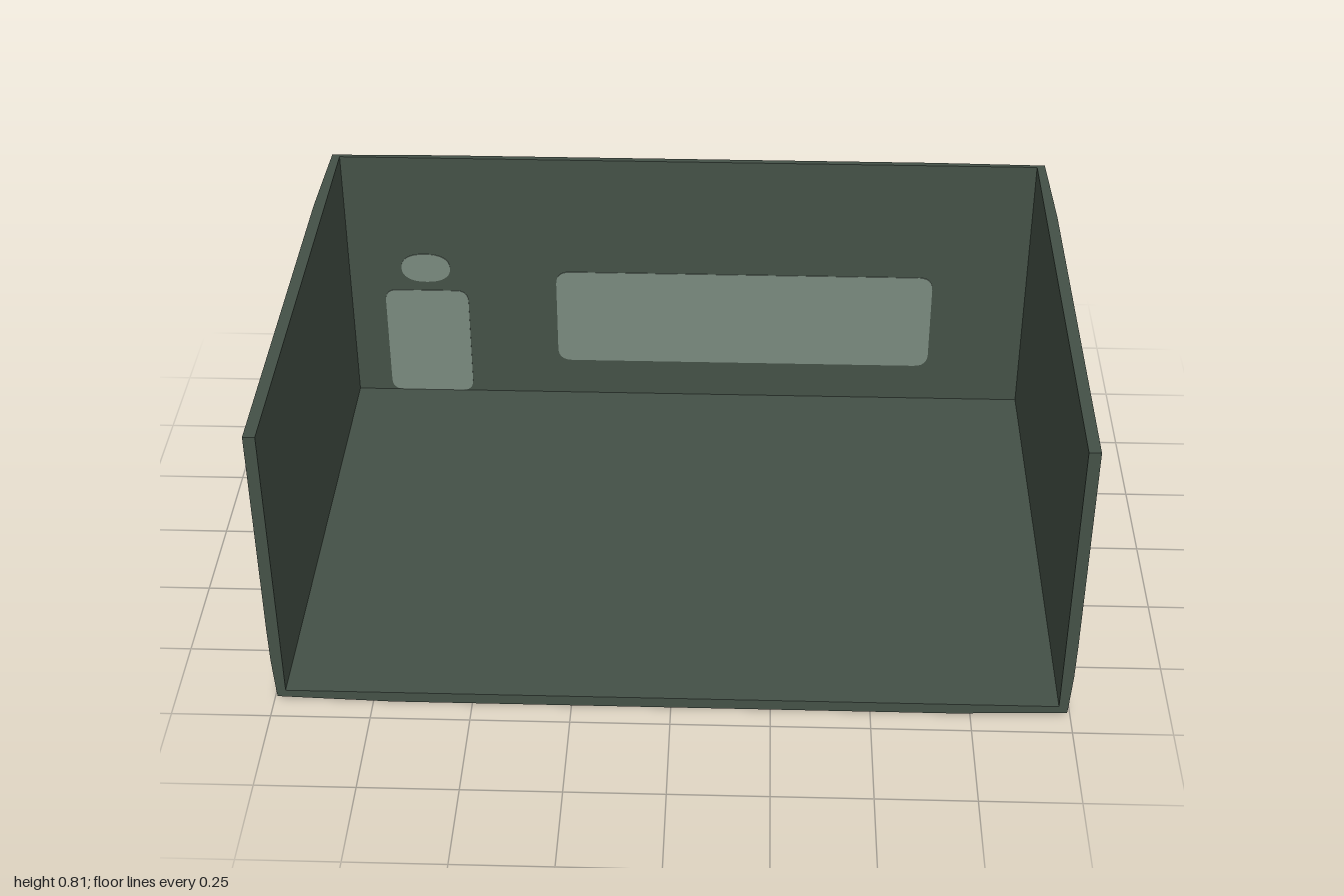
import * as THREE from 'three';

const W = 1, H = 0.81, D = 0.687, BACK = 0.685, T = 0.03, BACK_IN = -0.668;

// 0 before a, rising evenly to 1 at b
const ramp = (v, a, b) => THREE.MathUtils.clamp((v - a) / (b - a), 0, 1);

// Eases the outer skin inwards near the lower and rear edges
function easeOuterSkin(geometry) {
  const p = geometry.attributes.position;
  for (let i = 0; i < p.count; i++) {
    const x = p.getX(i), y = p.getY(i), z = p.getZ(i);
    const side = ramp(Math.abs(x), 0.7, W);
    const low = 1 - ramp(y, 0, 0.15);
    const rear = ramp(-z, 0.4, BACK);
    if (Math.abs(x) > W - 0.001) p.setX(i, x - Math.sign(x) * 0.008 * Math.max(low, rear));
    if (y < 0.001) p.setY(i, Math.max(0.01 * side, 0.01 * ramp(-z, -D, BACK)) + 0.002 * side * rear);
    if (z < -BACK + 0.001) p.setZ(i, z + 0.006 * Math.max(side, low));
  }
  geometry.computeVertexNormals();
  return geometry;
}

// Slab between two corners
function slab(name, min, max, material) {
  const size = max.map((v, i) => v - min[i]);
  const segments = size.map((s) => Math.max(1, Math.ceil(s / 0.1)));
  const g = new THREE.BoxGeometry(...size, ...segments);
  g.translate(...min.map((v, i) => (v + max[i]) / 2));
  const mesh = new THREE.Mesh(easeOuterSkin(g), material);
  mesh.name = name;
  return mesh;
}

function roundedRect(x0, y0, x1, y1, r) {
  const s = new THREE.Shape();
  s.moveTo(x0 + r, y0);
  s.lineTo(x1 - r, y0).quadraticCurveTo(x1, y0, x1, y0 + r);
  s.lineTo(x1, y1 - r).quadraticCurveTo(x1, y1, x1 - r, y1);
  s.lineTo(x0 + r, y1).quadraticCurveTo(x0, y1, x0, y1 - r);
  s.lineTo(x0, y0 + r).quadraticCurveTo(x0, y0, x0 + r, y0);
  return s;
}

export function createModel() {
  const model = new THREE.Group();
  model.name = 'openRoom';
  const wallGreen = new THREE.MeshStandardMaterial({ color: 0x445147 });
  wallGreen.name = 'darkGreen';
  const paneGreen = new THREE.MeshStandardMaterial({ color: 0x7a8a7e });
  paneGreen.name = 'paleGreen';

  // Floor and three walls, open at the front and top
  model.add(
    slab('floor', [-W, 0, -BACK], [W, T, D], wallGreen),
    slab('backWall', [-W + T, T, -BACK], [W - T, H, BACK_IN], wallGreen),
    slab('leftWall', [W - T, T, -BACK], [W, H, D], wallGreen),
    slab('rightWall', [-W, T, -BACK], [-W + T, H, D], wallGreen),
  );

  // Openings in the back wall, as thin plates on both of its faces
  const oval = new THREE.Shape();
  for (let i = 0; i < 32; i++) {
    const a = (i / 32) * Math.PI * 2, c = Math.cos(a), s = Math.sin(a);
    const x = -0.75 + 0.07 * Math.sign(c) * Math.abs(c) ** 0.85;
    const y = 0.452 + 0.046 * Math.sign(s) * Math.abs(s) ** 0.85;
    i ? oval.lineTo(x, y) : oval.moveTo(x, y);
  }
  const openings = {
    door: roundedRect(-0.872, 0.031, -0.632, 0.377, 0.035),
    roundLight: oval,
    longWindow: roundedRect(-0.376, 0.145, 0.704, 0.446, 0.04),
  };
  for (const [name, shape] of Object.entries(openings)) {
    const group = new THREE.Group();
    group.name = name;
    for (const [face, z, depth] of [['Inner', BACK_IN - 0.003, 0.005], ['Outer', -0.687, 0.009]]) {
      const g = new THREE.ExtrudeGeometry(shape, { depth, bevelEnabled: false, curveSegments: 6 });
      const plate = new THREE.Mesh(g, paneGreen);
      plate.position.z = z;
      plate.name = name + face;
      group.add(plate);
    }
    model.add(group);
  }
  return model;
}
